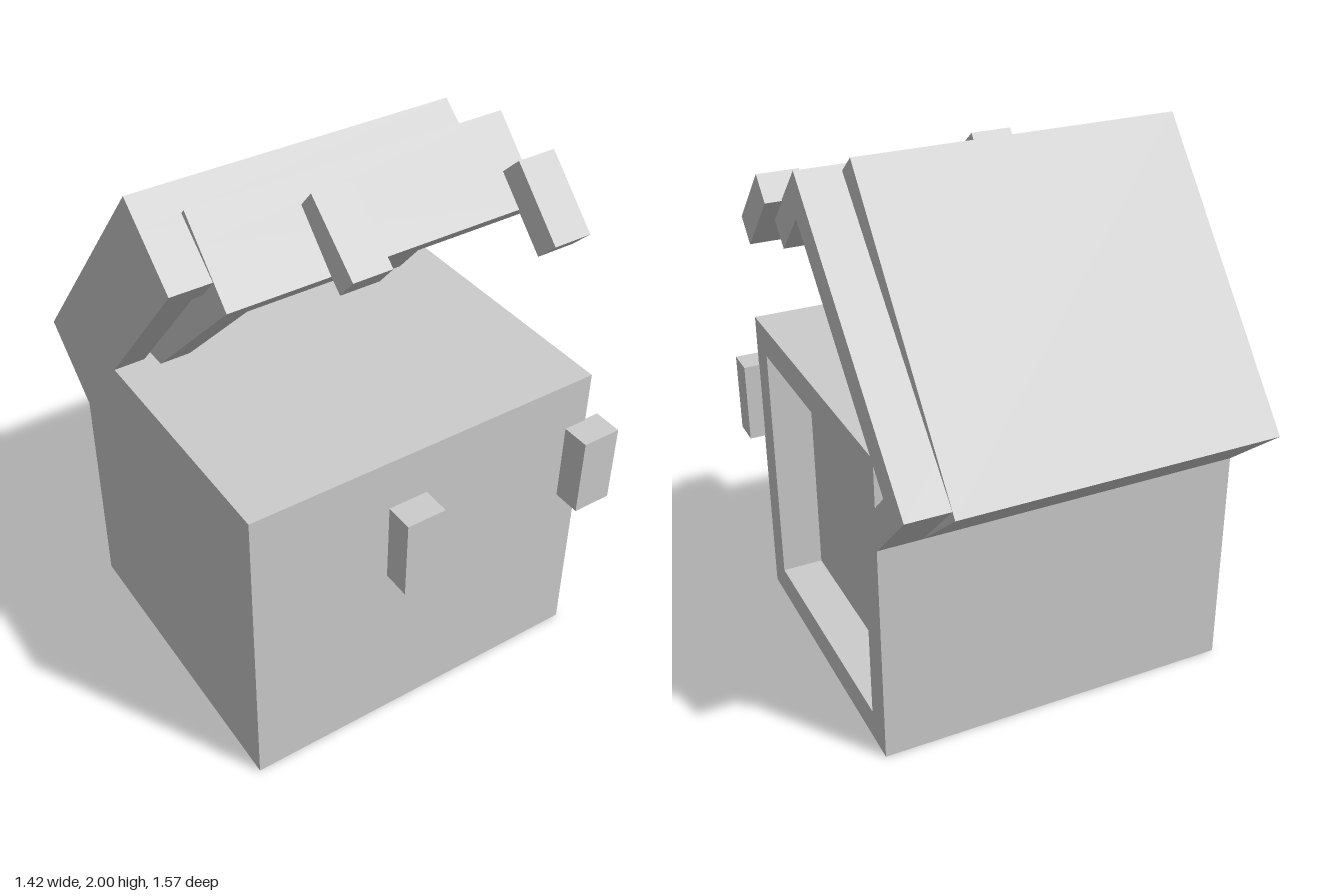
import * as THREE from 'three';

const WALL = 0.115, DEPTH = 1.2, BODY_H = 0.86, LID_H = 0.34, BACK_Z = -0.525;
const material = new THREE.MeshStandardMaterial({ color: 0xcccccc, side: THREE.DoubleSide });

function addMesh(parent, geometry, name) {
  const mesh = new THREE.Mesh(geometry, material);
  mesh.name = name;
  parent.add(mesh);
  return mesh;
}

// Upright walls, either a closed ring or a U that is open towards +x
function wallGeometry(x0, x1, height, open) {
  const points = list => list.map(([x, z]) => new THREE.Vector2(x, -z));
  const xi = x0 + WALL, zi = DEPTH - WALL;
  let shape;
  if (open) {
    shape = new THREE.Shape(points([
      [x0, 0], [x1, 0], [x1, WALL], [xi, WALL],
      [xi, zi], [x1, zi], [x1, DEPTH], [x0, DEPTH],
    ]));
  } else {
    shape = new THREE.Shape(points([[x0, 0], [x1, 0], [x1, DEPTH], [x0, DEPTH]]));
    shape.holes.push(new THREE.Path(points([
      [xi, WALL], [xi, zi], [x1 - WALL, zi], [x1 - WALL, WALL],
    ])));
  }
  const geometry = new THREE.ExtrudeGeometry(shape, { depth: height, bevelEnabled: false });
  return geometry.rotateX(-Math.PI / 2);
}

// Hollow tray: walls plus a plate closing the bottom (body) or the top (lid)
function tray(x0, x1, height, open, plateOnTop, name) {
  const group = new THREE.Group();
  group.name = name;
  const walls = addMesh(group, wallGeometry(x0, x1, height - WALL, open), name + 'Walls');
  walls.position.y = plateOnTop ? 0 : WALL;
  const plate = addMesh(group, new THREE.BoxGeometry(x1 - x0, WALL, DEPTH), name + 'Plate');
  plate.position.set((x0 + x1) / 2, plateOnTop ? height - WALL / 2 : WALL / 2, DEPTH / 2);
  return group;
}

// Lid with its latch, turning about the back lower edge
function lid({ x0, x1, open, latchX }, angle, name) {
  const group = tray(x0, x1, LID_H, open, true, name);
  const latch = addMesh(group, new THREE.BoxGeometry(0.15, 0.31, 0.11), name + 'Latch');
  latch.position.set(latchX, -0.015, DEPTH + 0.05);
  group.position.set(0, BODY_H, BACK_Z);
  group.rotation.x = -THREE.MathUtils.degToRad(angle);
  return group;
}

export function createModel() {
  const model = new THREE.Group();
  model.name = 'chest';

  // A closed single chest overlapping a half chest with an open side
  const chests = [
    { name: 'single', x0: -0.715, x1: 0.49, open: false, latchX: -0.115, angle: 50 },
    { name: 'half', x0: -0.565, x1: 0.65, open: true, latchX: 0.635, angle: 45 },
  ];
  for (const chest of chests) {
    const body = tray(chest.x0, chest.x1, BODY_H, chest.open, false, chest.name + 'Body');
    body.position.z = BACK_Z;
    model.add(body);
    // Each chest carries a shut lid and a raised lid
    model.add(lid(chest, 0, chest.name + 'ClosedLid'));
    model.add(lid(chest, chest.angle, chest.name + 'OpenLid'));
  }
  return model;
}
